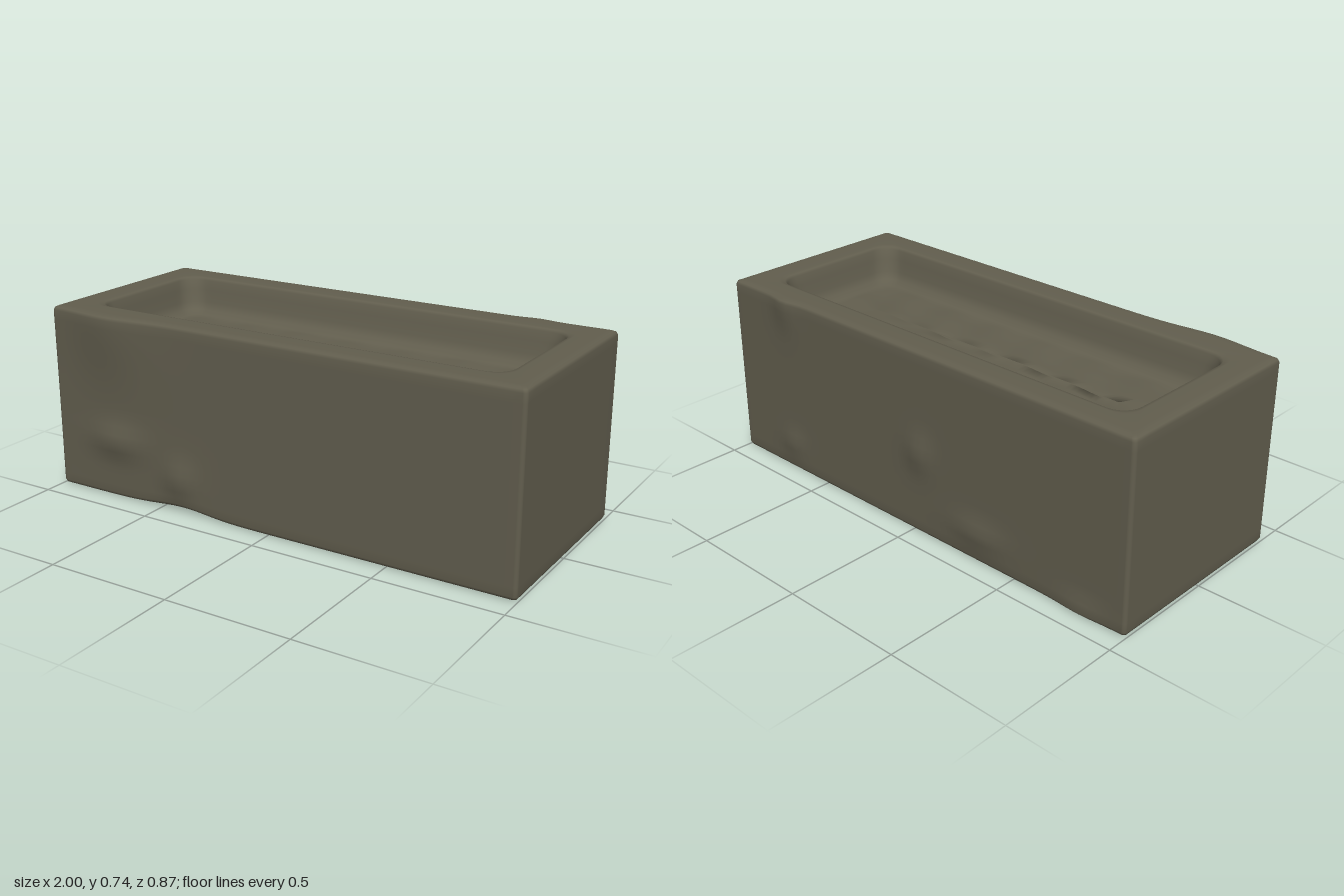
import * as THREE from 'three';

// Dents and swellings on the long sides: [x, y, amount, x radius, y radius]
const FRONT_BUMPS = [
  [-0.72, 0.74, 0.027, 0.17, 0.22], [-0.7, 0.24, 0.022, 0.12, 0.06],
  [-0.4, 0.14, 0.018, 0.07, 0.07],
];
const BACK_BUMPS = [
  [0.69, 0.73, 0.016, 0.06, 0.1], [-0.04, 0.34, 0.016, 0.06, 0.07], [-0.33, 0.12, 0.015, 0.12, 0.05],
  [0.69, 0.12, 0.012, 0.06, 0.05], [-0.8, 0.03, 0.012, 0.1, 0.04],
];
const swell = (bumps, x, y) => bumps.reduce((s, [bx, by, amount, rx, ry]) =>
  s + amount * Math.exp(-(((x - bx) / rx) ** 2) - ((y - by) / ry) ** 2), 0);

// Rounded rectangle outline, counter-clockwise from above
function outline(hx, hz, r) {
  const pts = [], corners = [[1, 1], [-1, 1], [-1, -1], [1, -1]], arc = 6;
  corners.forEach(([sx, sz], k) => {
    const cx = sx * (hx - r), cz = sz * (hz - r);
    for (let i = 0; i <= arc; i++) {
      const a = (k + i / arc) * Math.PI / 2;
      pts.push([cx + r * Math.cos(a), -(cz + r * Math.sin(a))]);
    }
    // subdivide the straight run to the next corner
    const [nx, nz] = corners[(k + 1) % 4];
    const a = (k + 1) * Math.PI / 2, n = k % 2 ? 14 : 56;
    const [x0, z0] = pts[pts.length - 1];
    const x1 = nx * (hx - r) + r * Math.cos(a), z1 = -(nz * (hz - r) + r * Math.sin(a));
    for (let i = 1; i < n; i++) pts.push([x0 + (x1 - x0) * i / n, z0 + (z1 - z0) * i / n]);
  });
  return pts;
}

function troughGeometry() {
  const HX = 0.998, HZ = 0.413, TOP = 0.745;
  // Rings [half length, half width, y, corner radius], underside first
  const rings = [[0.6, 0.002, 0.004, 0.001], [0.8, 0.2, 0.004, 0.01], [0.97, 0.385, 0.004, 0.01],
    [HX - 0.016, HZ - 0.016, 0.005, 0.012], [HX - 0.005, HZ - 0.005, 0.01, 0.014]];
  for (let i = 0; i <= 20; i++) rings.push([HX, HZ, 0.021 + 0.708 * i / 20, 0.015]);
  rings.push([HX - 0.005, HZ - 0.005, TOP - 0.005, 0.014], [HX - 0.016, HZ - 0.016, TOP, 0.012],
    [0.96, 0.375, TOP, 0.02], [0.89, 0.312, TOP, 0.07],
    // basin walls
    [0.875, 0.298, TOP - 0.003, 0.08], [0.868, 0.291, TOP - 0.012, 0.08], [0.858, 0.282, TOP - 0.05, 0.08],
    [0.848, 0.272, TOP - 0.1, 0.08], [0.835, 0.259, TOP - 0.13, 0.075], [0.81, 0.234, TOP - 0.147, 0.06],
    // basin floor
    [0.78, 0.2, TOP - 0.15, 0.05], [0.74, 0.15, TOP - 0.15, 0.03], [0.7, 0.1, TOP - 0.15, 0.02],
    [0.66, 0.05, TOP - 0.15, 0.01], [0.62, 0.002, TOP - 0.15, 0.001]);

  const pos = [], index = [];
  let count = 0;
  for (const [hx, hz, y, r] of rings) {
    const pts = outline(hx, hz, r);
    count = pts.length;
    for (const [x, z] of pts) {
      let py = y, pz = z;
      const outer = Math.max(0, (Math.abs(z) - 0.33) / (HZ - 0.33));
      if (hz > 0.33) pz += outer * (z > 0 ? swell(FRONT_BUMPS, x, y) : -swell(BACK_BUMPS, x, y));
      // chipped lower front edge
      if (y < 0.1 && z > 0) py += 0.024 * outer * Math.exp(-(((x + 0.4) / 0.16) ** 2)) * (1 - y / 0.1);
      // uneven basin floor
      if (hz < 0.21 && y > 0.5) py += 0.005 * Math.sin(9 * x + 13 * z) * Math.cos(17 * x - 21 * z);
      pos.push(x, py, pz - 0.007);
    }
  }
  for (let i = 0; i < rings.length - 1; i++) {
    for (let j = 0; j < count; j++) {
      const k = (j + 1) % count, a = i * count + j, b = i * count + k;
      index.push(a, b, b + count, a, b + count, a + count);
    }
  }
  // close the seams along the underside and the floor
  const last = (rings.length - 1) * count;
  for (let j = 1; j < count - 1; j++) index.push(0, j + 1, j, last, last + j, last + j + 1);

  const g = new THREE.BufferGeometry();
  g.setAttribute('position', new THREE.Float32BufferAttribute(pos, 3));
  g.setIndex(index);
  g.computeVertexNormals();
  return g;
}

export function createModel() {
  const group = new THREE.Group();
  group.name = 'stoneTrough';
  const stone = new THREE.MeshStandardMaterial({ color: 0x625e4e });
  stone.name = 'weathered stone';
  const trough = new THREE.Mesh(troughGeometry(), stone);
  trough.name = 'troughBody';
  group.add(trough);
  return group;
}
